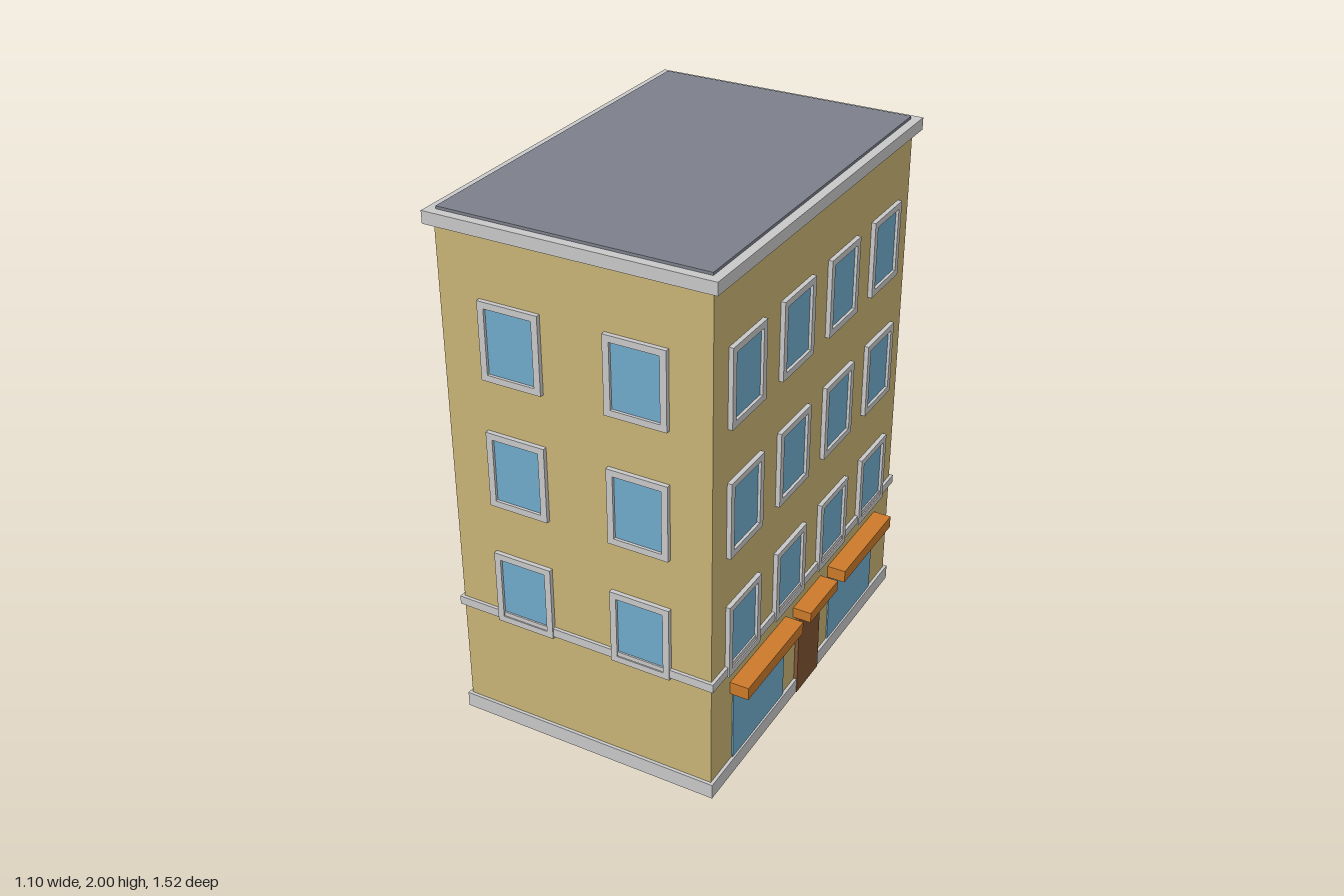
import * as THREE from 'three';

const mat = (name, color) => Object.assign(new THREE.MeshStandardMaterial({ color }), { name });

export function createModel() {
  const wall = mat('wall', 0xc9b475);
  const trim = mat('trim', 0xc8c8c8);
  const glass = mat('glass', 0x70aacb);
  const roofGrey = mat('roof', 0x7c808b);
  const orange = mat('awning', 0xcc7a2a);
  const brown = mat('door', 0x7f5533);

  const model = new THREE.Group();
  model.name = 'cornerBuilding';

  // Box given by its minimum and maximum on each axis
  function box(name, material, [x0, x1], [y0, y1], [z0, z1], parent = model) {
    const mesh = new THREE.Mesh(new THREE.BoxGeometry(x1 - x0, y1 - y0, z1 - z0), material);
    mesh.position.set((x0 + x1) / 2, (y0 + y1) / 2, (z0 + z1) / 2);
    mesh.name = name;
    parent.add(mesh);
    return mesh;
  }

  const left = 0.476, right = -0.525, depth = 0.735;
  // Slab around the walls, overhanging by a margin
  const slab = (name, material, y, m) =>
    box(name, material, [right - m, left + m], y, [-depth - m, depth + m]);

  // Main volume and horizontal bands
  slab('walls', wall, [0, 1.96], 0);
  slab('plinth', trim, [0.001, 0.06], 0.012);
  slab('beltCourse', trim, [0.467, 0.5], 0.012);
  slab('cornice', trim, [1.945, 1.99], 0.027);
  slab('roof', roofGrey, [1.98, 2], -0.006);

  // Window: extruded frame with an opening, and a recessed pane
  const rect = (shape, w, h) => shape
    .moveTo(-w / 2, -h / 2).lineTo(w / 2, -h / 2).lineTo(w / 2, h / 2).lineTo(-w / 2, h / 2).closePath();
  const frameShape = rect(new THREE.Shape(), 0.228, 0.288);
  frameShape.holes.push(rect(new THREE.Path(), 0.18, 0.24));
  const frameGeo = new THREE.ExtrudeGeometry(frameShape, { depth: 0.0165, bevelEnabled: false });
  const paneGeo = new THREE.BoxGeometry(0.18, 0.24, 0.006);

  function addWindow(x, y, z, turn) {
    const group = new THREE.Group();
    group.name = 'window';
    const frame = new THREE.Mesh(frameGeo, trim);
    frame.name = 'windowFrame';
    const pane = new THREE.Mesh(paneGeo, glass);
    pane.name = 'windowPane';
    pane.position.z = 0.003;
    group.add(frame, pane);
    group.position.set(x, y, z);
    group.rotation.y = turn;
    model.add(group);
  }

  for (const y of [0.603, 1.087, 1.572]) {
    for (const x of [-0.256, 0.209]) addWindow(x, y, depth, 0);
    for (const z of [-0.525, -0.175, 0.175, 0.525]) addWindow(left, y, z, Math.PI / 2);
  }

  // Shop front: two display windows, a door and three awnings
  for (const s of [-1, 1]) {
    const span = (a, b) => (s > 0 ? [a, b] : [-b, -a]);
    box('shopWindow', glass, [left - 0.002, left + 0.005], [0.05, 0.342], span(0.19, 0.583));
    box('shopAwning', orange, [left, 0.547], [0.357, 0.406], span(0.177, 0.602));
  }
  box('door', brown, [left, left + 0.0145], [0, 0.35], [-0.089, 0.089]);
  box('doorAwning', orange, [left, 0.547], [0.362, 0.403], [-0.115, 0.115]);

  return model;
}
